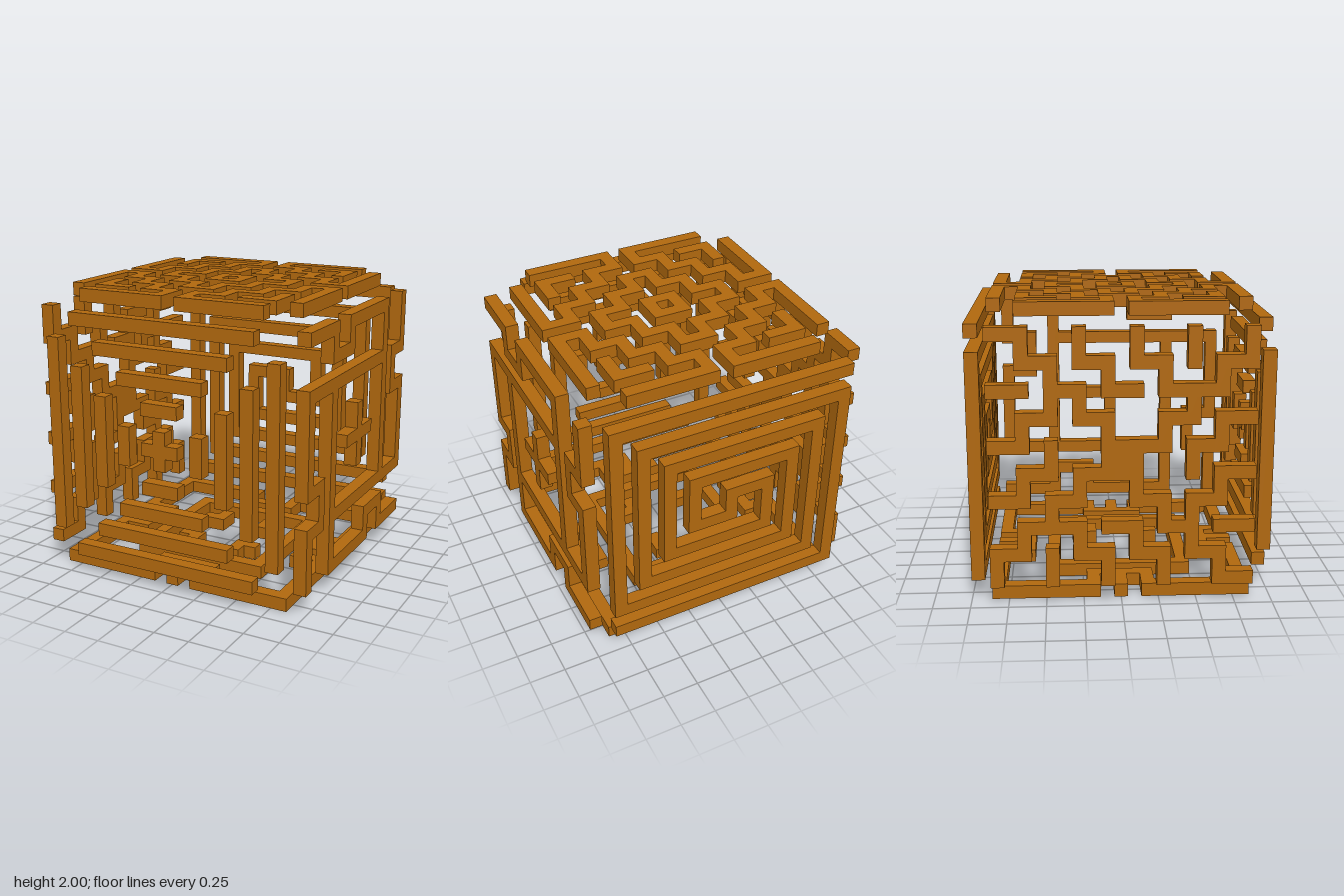
import * as THREE from 'three';
import { mergeGeometries } from 'three/addons/utils/BufferGeometryUtils.js';

const C = 1 / 11;          // width of one bar; each panel is a 19 x 19 grid of such cells
const LAST = 18;
const material = new THREE.MeshStandardMaterial({ color: 0xb0680e });

// Symmetry helpers acting on [row, column] points
const turn = ([r, c]) => [c, LAST - r];
const mirror = ([r, c]) => [r, LAST - c];
const half = (p) => turn(turn(p));

function spin4(paths) {
  const out = [];
  let current = paths;
  for (let i = 0; i < 4; i++) {
    out.push(...current);
    current = current.map((path) => path.map(turn));
  }
  return out;
}
const kaleidoscope = (paths) => spin4([...paths, ...paths.map((p) => p.map(mirror))]);

// One panel: each straight run of a path becomes a square bar
function makePanel(name, paths) {
  const runs = new Map();
  for (const path of paths) {
    const points = path.length === 1 ? [path[0], path[0]] : path;
    for (let i = 1; i < points.length; i++) {
      const [r1, c1] = points[i - 1], [r2, c2] = points[i];
      const run = [Math.min(r1, r2), Math.min(c1, c2), Math.max(r1, r2), Math.max(c1, c2)];
      runs.set(run.join(), run);
    }
  }
  const bars = [...runs.values()].map(([r1, c1, r2, c2]) =>
    new THREE.BoxGeometry((c2 - c1 + 1) * C, (r2 - r1 + 1) * C, C)
      .translate(((c1 + c2) / 2 - 9) * C, (9 - (r1 + r2) / 2) * C, 0));
  const mesh = new THREE.Mesh(mergeGeometries(bars), material);
  mesh.name = name;
  return mesh;
}

// Front: four fans of nested bars around a small plus
function frontPaths() {
  const bars = [0, 2, 4, 6].map((k) => [[k, k + 2], [k, 16 - k]]);
  return [...spin4(bars), [[9, 8], [9, 10]], [[8, 9], [10, 9]]];
}

// Back: two-armed square spiral meeting in the middle
function backPaths() {
  const arm = [[0, 0], [0, 18], [16, 18], [16, 2], [4, 2], [4, 14],
    [12, 14], [12, 6], [8, 6], [8, 9], [9, 9]];
  return [arm, arm.map(half)];
}

// Top: zigzag lines mirrored into every corner, around a small ring
function topPaths() {
  return kaleidoscope([
    [[0, 2], [0, 8], [2, 8], [2, 6], [4, 6], [4, 4]],
    [[2, 4], [2, 2]],
    [[4, 9], [4, 8], [6, 8], [6, 6]],
    [[8, 8], [8, 10]],
  ]);
}

// Bottom: notched frame with a tooth on each side, and an inner ring
function bottomPaths() {
  return kaleidoscope([
    [[0, 0], [0, 7], [2, 7], [2, 9], [0, 9]],
    [[4, 4], [4, 14]],
    [[6, 7], [7, 7]],
  ]);
}

// Positive x side: pinwheel of long bars, meandering edge and a central plus
function pinwheelPaths() {
  return spin4([
    [[4, 0], [4, 13]],
    [[0, 0], [0, 4], [2, 4], [2, 7], [0, 7], [0, 14]],
    [[9, 9], [9, 11]],
  ]);
}

// Negative x side: parallel staircases turned about the centre
function staircasePaths() {
  return spin4([
    [[0, 18], [0, 16], [2, 16], [2, 14], [4, 14], [4, 12],
      [6, 12], [6, 10], [8, 10], [8, 9], [9, 9]],
    [[0, 12], [2, 12], [2, 10], [4, 10], [4, 8]],
    [[0, 8], [2, 8], [2, 6], [4, 6], [4, 4]],
    [[0, 4], [2, 4]],
  ]);
}

export function createModel() {
  const group = new THREE.Group();
  group.name = 'mazeCube';
  const d = 1 - C / 2;
  const quarter = Math.PI / 2;

  // name, paths, position, rotation
  const panels = [
    ['frontPanel', frontPaths(), [0, 1, d], [0, 0, 0]],
    ['backPanel', backPaths(), [0, 1, -d], [0, 0, 0]],
    ['leftPanel', pinwheelPaths(), [d, 1, 0], [0, quarter, 0]],
    ['rightPanel', staircasePaths(), [-d, 1, 0], [0, quarter, 0]],
    ['topPanel', topPaths(), [0, 1 + d, 0], [-quarter, 0, 0]],
    ['bottomPanel', bottomPaths(), [0, 1 - d, 0], [-quarter, 0, 0]],
  ];
  for (const [name, paths, position, rotation] of panels) {
    const panel = makePanel(name, paths);
    panel.position.set(...position);
    panel.rotation.set(...rotation);
    group.add(panel);
  }
  return group;
}
